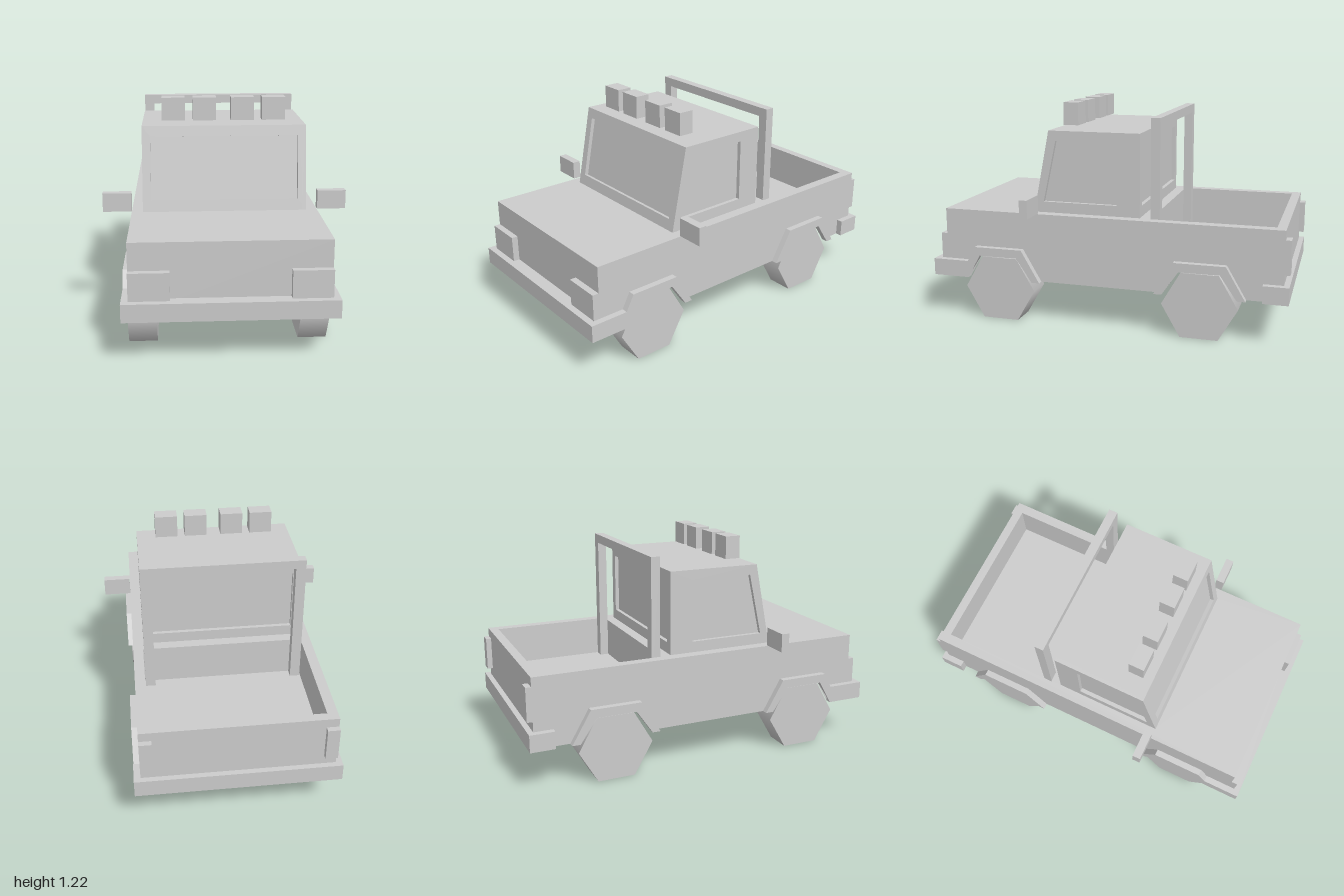
import * as THREE from 'three';

const mat = new THREE.MeshStandardMaterial({ color: 0xcccccc, side: THREE.DoubleSide });

function add(parent, name, geometry) {
  const mesh = new THREE.Mesh(geometry, mat);
  mesh.name = name;
  parent.add(mesh);
  return mesh;
}

// Box from its limits on each axis
function box(parent, name, x0, x1, y0, y1, z0, z1) {
  const g = new THREE.BoxGeometry(x1 - x0, y1 - y0, z1 - z0);
  return add(parent, name, g.translate((x0 + x1) / 2, (y0 + y1) / 2, (z0 + z1) / 2));
}

const points = (list) => list.map(([a, b]) => new THREE.Vector2(a, b));
const rect = (a0, a1, b0, b1) => [[a0, b0], [a1, b0], [a1, b1], [a0, b1]];

function outline(list, ...holes) {
  const s = new THREE.Shape(points(list));
  for (const h of holes) s.holes.push(new THREE.Path(points(h)));
  return s;
}
const flat = (list, ...holes) => new THREE.ShapeGeometry(outline(list, ...holes));
const slab = (depth, list, ...holes) =>
  new THREE.ExtrudeGeometry(outline(list, ...holes), { depth, bevelEnabled: false });

// Turns a (z, y) drawing into a side part; its depth runs towards -x
const sideways = (g, x) => g.rotateY(-Math.PI / 2).translate(x, 0, 0);

const WHEELS = [0.605, -0.535];
const BOTTOM = 0.235, DECK = 0.62, ROOF = 1.075;

// Half-hexagon arch line around a wheel centre
const arch = (c, low, high, top) =>
  [[c + low, BOTTOM], [c + high, top], [c - high, top], [c - low, BOTTOM]];

function buildBody() {
  const body = new THREE.Group();
  body.name = 'body';

  // Side skins with wheel cutouts
  const skin = [
    [0.93, BOTTOM], ...arch(WHEELS[0], 0.2, 0.11, 0.367),
    ...arch(WHEELS[1], 0.2, 0.11, 0.367), [-0.97, BOTTOM], [-0.97, DECK], [0.93, DECK],
  ];
  for (const x of [0.505, -0.505]) add(body, 'bodySide', sideways(flat(skin), x));

  // Front and tailgate skins
  for (const [name, z] of [['nose', 0.93], ['tailgate', -0.97]])
    add(body, name, flat(rect(-0.505, 0.505, BOTTOM, DECK)).translate(0, 0, z));

  // Deck with openings for the cab and the load bed
  const deck = flat(rect(-0.505, 0.505, -0.97, 0.93),
    rect(-0.445, 0.445, -0.19, 0.41), rect(-0.45, 0.45, -0.92, -0.25));
  add(body, 'deck', deck.rotateX(Math.PI / 2).translate(0, DECK, 0));

  // Load bed lining
  const floor = 0.4;
  add(body, 'bedFloor', flat(rect(-0.45, 0.45, -0.92, -0.25)).rotateX(Math.PI / 2).translate(0, floor, 0));
  for (const x of [0.45, -0.45])
    add(body, 'bedSide', sideways(flat(rect(-0.92, -0.25, floor, DECK)), x));
  for (const z of [-0.25, -0.92])
    add(body, 'bedEnd', flat(rect(-0.45, 0.45, floor, DECK)).translate(0, 0, z));
  return body;
}

function buildCab() {
  const cab = new THREE.Group();
  cab.name = 'cab';
  const t = 0.022;

  // Side frames with inset windows
  const side = [[0.415, DECK], [0.325, ROOF], [-0.19, ROOF], [-0.19, DECK]];
  const window = [[0.36, 0.68], [0.285, 1.02], [-0.06, 1.02], [-0.06, 0.68]];
  for (const s of [1, -1]) {
    add(cab, 'cabSide', sideways(slab(t, side, window), s > 0 ? 0.445 : -0.445 + t));
    add(cab, 'sideWindow', sideways(flat(window), s * (0.445 - t)));
  }

  // Sloping windscreen
  const rise = ROOF - DECK, tilt = Math.atan2(0.09, rise), k = 1 / Math.cos(tilt);
  const glass = rect(-0.4, 0.4, 0.06 * k, 0.4 * k);
  const lean = (g) => g.translate(0, 0, -t).rotateX(-tilt).translate(0, DECK, 0.415);
  add(cab, 'windscreenFrame', lean(slab(t, rect(-0.445, 0.445, 0, rise * k), glass)));
  add(cab, 'windscreen', lean(flat(glass)));

  // Rear wall with inset window
  const rear = rect(-0.4, 0.4, 0.68, 1.02);
  add(cab, 'cabRear', slab(t, rect(-0.445, 0.445, DECK, ROOF), rear).translate(0, 0, -0.19));
  add(cab, 'rearWindow', flat(rear).translate(0, 0, -0.19 + t));

  box(cab, 'roof', -0.445, 0.445, ROOF - 0.005, ROOF, -0.19, 0.325);
  return cab;
}

export function createModel() {
  const truck = new THREE.Group();
  truck.name = 'pickupTruck';
  truck.add(buildBody(), buildCab());

  // Bumpers
  box(truck, 'frontBumper', -0.54, 0.54, BOTTOM, 0.33, 0.93, 1);
  box(truck, 'rearBumper', -0.54, 0.54, BOTTOM, 0.33, -1, -0.97);

  // Roll bar
  const hoop = [[-0.445, 0.4], [-0.445, 1.16], [0.445, 1.16], [0.445, 0.4],
    [0.39, 0.4], [0.39, 1.11], [-0.39, 1.11], [-0.39, 0.4]];
  add(truck, 'rollBar', slab(0.05, hoop).translate(0, 0, -0.3));

  // Wheel arch flares; the front one runs into the bumper
  const flares = WHEELS.map((c, i) => [
    ...(i ? [[c + 0.245, BOTTOM]] : [[0.79, BOTTOM], [0.79, 0.33]]),
    ...arch(c, 0.245, 0.14, 0.415).slice(1),
    ...arch(c, 0.2, 0.11, 0.367).reverse(),
  ]);

  for (const s of [1, -1]) {
    // Box mirrored to either side
    const pair = (name, x0, x1, ...yz) =>
      box(truck, name, Math.min(s * x0, s * x1), Math.max(s * x0, s * x1), ...yz);

    pair('frontBumperEnd', 0.505, 0.54, BOTTOM, 0.33, 0.79, 0.93);
    pair('rearBumperEnd', 0.505, 0.54, BOTTOM, 0.33, -0.97, -0.865);
    pair('headlight', 0.3, 0.505, 0.33, 0.475, 0.93, 0.965);
    pair('tailLight', 0.44, 0.505, 0.385, 0.57, -1, -0.97);
    pair('mirror', 0.505, 0.66, 0.625, 0.727, 0.37, 0.415);
    for (const x of [0.04, 0.21]) pair('roofLight', x, x + 0.127, 1.095, 1.22, 0.19, 0.275);

    WHEELS.forEach((c, i) => {
      add(truck, 'wheelArch', sideways(slab(0.035, flares[i]), s > 0 ? 0.54 : -0.505));
      // Six-sided wheel resting on a flat
      const wheel = new THREE.CylinderGeometry(0.206, 0.206, 0.15, 6).rotateZ(Math.PI / 2);
      add(truck, 'wheel', wheel.translate(s * 0.445, 0.179, c));
    });
  }
  return truck;
}
